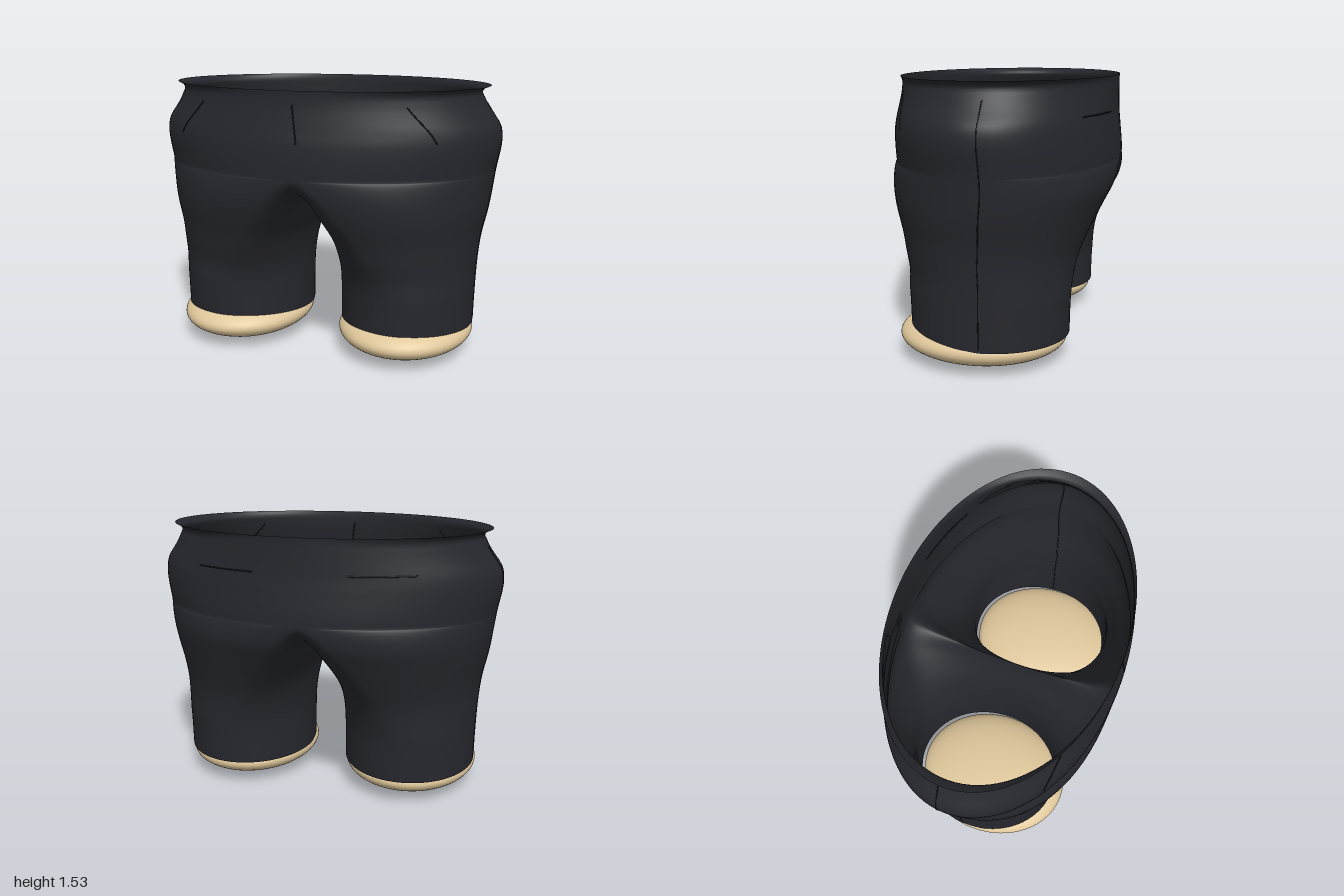
import * as THREE from 'three';
import { mergeGeometries, mergeVertices } from 'three/addons/utils/BufferGeometryUtils.js';

const HEM = 0.155, CROTCH = 1.07, WAIST = 1.53;

// height, outer half width, front depth, back depth, inner leg x
const PROFILE = [
  [0.155, 0.885, 0.46, -0.42, 0.115],
  [0.35, 0.888, 0.465, -0.425, 0.113],
  [0.5, 0.893, 0.475, -0.438, 0.108],
  [0.6, 0.9, 0.505, -0.46, 0.095],
  [0.7, 0.912, 0.535, -0.5, 0.075],
  [0.85, 0.943, 0.592, -0.57, 0.03],
  [0.95, 0.957, 0.62, -0.617, 0.01],
  [1.07, 0.972, 0.634, -0.636, 0],
  [1.25, 0.998, 0.633, -0.623, 0],
  [1.32, 0.985, 0.622, -0.616, 0],
  [1.4, 0.93, 0.61, -0.613, 0],
  [1.45, 0.9, 0.604, -0.612, 0],
  [1.512, 0.888, 0.603, -0.612, 0],
  [1.53, 0.927, 0.605, -0.614, 0],
];
const profile = new THREE.CubicInterpolant(
  PROFILE.map((r) => r[0]), PROFILE.flatMap((r) => r.slice(1)), 4, new Float32Array(4));

// Point on the fabric: t runs front (0), outer side, back (PI), then the inner thigh
function fabric(t, h, side, out = 0) {
  const [xo, zf, zb, xi] = profile.evaluate(h);
  const below = Math.max(0, CROTCH - h);
  const cx = 0.5 * Math.min(1, below / 0.67) ** 0.6;
  const s = Math.sin(t), c = Math.cos(t);
  const inner = s < 0 && h <= CROTCH;
  const x = cx + s * (inner ? cx - xi : xo - cx + out);
  const z = (zf + zb) / 2 + c * ((zf - zb) / 2 + out);
  let y = h;
  // saddle of the crotch
  if (inner) y += s * 0.18 * THREE.MathUtils.clamp((h - 0.5) / 0.57, 0, 1) ** 2;
  // hem rises towards the front
  const lift = THREE.MathUtils.clamp(1 - (h - HEM) / 0.35, 0, 1);
  y += 0.045 * lift * THREE.MathUtils.clamp((z + 0.02) / 0.46, 0, 1);
  return new THREE.Vector3(side * x, y, z);
}

// Grid of quads over an angle range and a list of heights
function panel(t0, t1, cols, heights, side) {
  const pos = [], index = [], w = cols + 1;
  heights.forEach((h, j) => {
    for (let i = 0; i <= cols; i++) {
      const p = fabric(t0 + ((t1 - t0) * i) / cols, h, side);
      if (Math.abs(p.x) < 1e-4) p.x = 0;
      pos.push(p.x, p.y, p.z);
      if (i < cols && j < heights.length - 1) {
        const a = j * w + i, b = a + 1, c = b + w, d = a + w;
        if (side > 0) index.push(a, b, c, a, c, d);
        else index.push(a, c, b, a, d, c);
      }
    }
  });
  const g = new THREE.BufferGeometry();
  g.setAttribute('position', new THREE.Float32BufferAttribute(pos, 3));
  g.setIndex(index);
  return g;
}

export function createModel() {
  const model = new THREE.Group();
  const cloth = new THREE.MeshStandardMaterial({ color: 0x26272d, side: THREE.DoubleSide });
  const stitch = new THREE.MeshStandardMaterial({ color: 0x17181c });
  const skin = new THREE.MeshStandardMaterial({ color: 0xe0c89c });
  const add = (name, geo, mat) => {
    const m = new THREE.Mesh(geo, mat);
    m.name = name;
    model.add(m);
    return m;
  };

  // Trousers: both legs with the pelvis as one smooth open shell
  const legRows = [], hipRows = [];
  for (let i = 0; i <= 36; i++) legRows.push(CROTCH - (CROTCH - HEM) * (1 - i / 36) ** 1.6);
  for (let i = 0; i <= 32; i++) hipRows.push(CROTCH + ((WAIST - CROTCH) * i) / 32);
  const parts = [];
  for (const side of [1, -1]) {
    parts.push(panel(0, Math.PI * 2, 96, legRows, side));
    parts.push(panel(0, Math.PI, 48, hipRows, side));
  }
  const shell = mergeVertices(mergeGeometries(parts), 1e-4);
  shell.computeVertexNormals();
  add('trousers', shell, cloth);

  // Thin stitched lines lying on the fabric
  const seam = (name, side, [t0, h0], [t1, h1], r = 0.004) => {
    const pts = [];
    for (let i = 0; i <= 20; i++) {
      const k = i / 20;
      pts.push(fabric(t0 + (t1 - t0) * k, h0 + (h1 - h0) * k, side));
    }
    add(name, new THREE.TubeGeometry(new THREE.CatmullRomCurve3(pts), 40, r, 6), stitch);
  };
  for (const side of [1, -1]) {
    const label = side > 0 ? 'left' : 'right';
    seam(label + 'SideSeam', side, [1.64, 1.44], [1.64, 0.17], 0.003);
    seam(label + 'FrontPocket', side, [0.685, 1.45], [0.81, 1.265]);
    seam(label + 'BackPocket', side, [Math.PI - 0.26, 1.34], [Math.PI - 0.66, 1.34]);

    // Foot: flattened rounded pad under the leg
    const foot = add(label + 'Foot', new THREE.SphereGeometry(1, 64, 32), skin);
    foot.scale.set(0.389, 0.132, 0.465);
    foot.position.set(side * 0.502, 0.132, 0.06);
  }
  seam('fly', 1, [0, 1.46], [0.03, 1.26]);

  return model;
}
